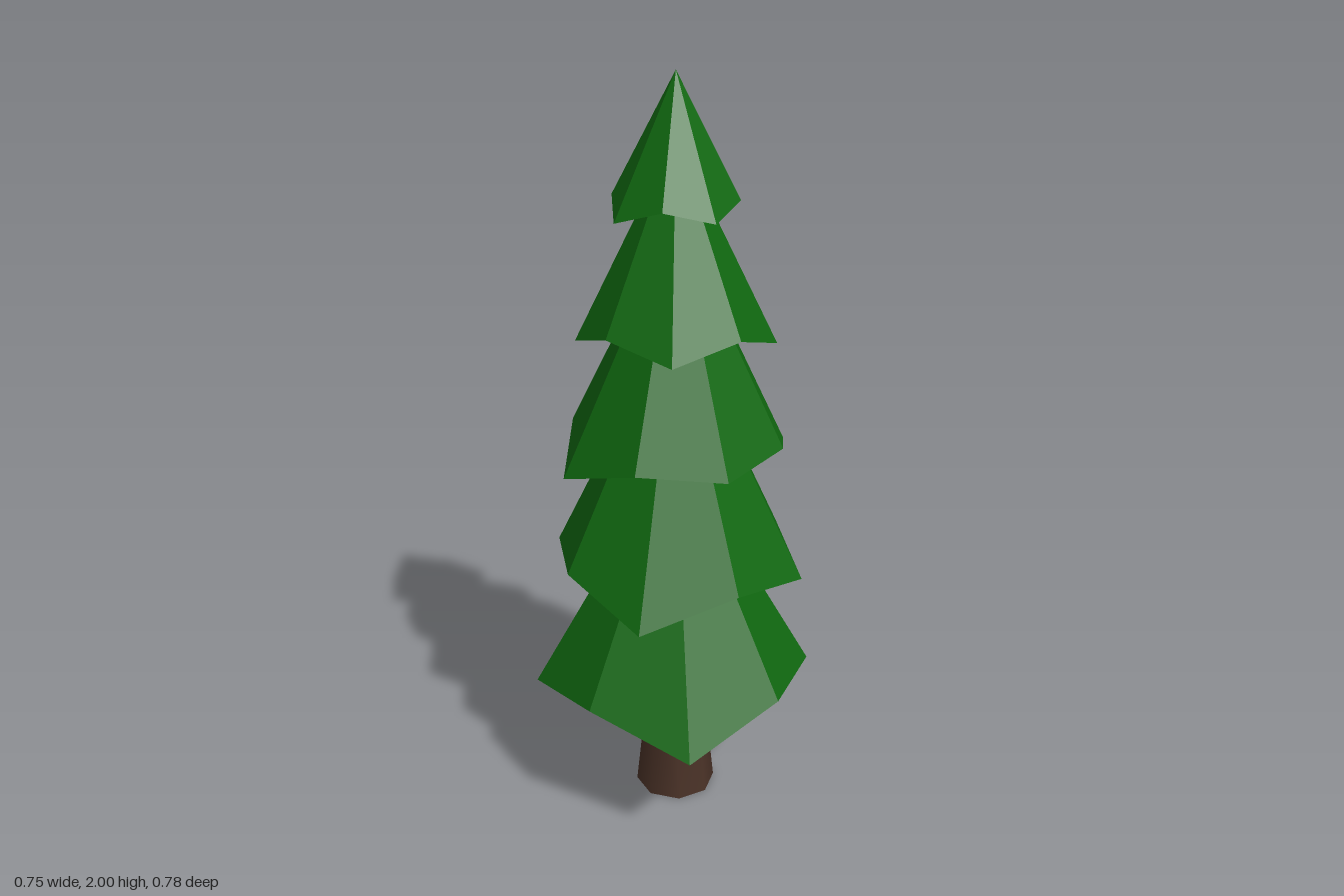
import * as THREE from 'three';

const SIDES = 8;
const AXIS_X = 0.007; // trunk axis sits slightly off centre

// Each tier: long ridge radii and heights (four, 90 degrees apart), short ridges between, apex, twist
const TIERS = [
  { twist: 0, long: [0.37, 0.39, 0.384, 0.39], longY: [0.38, 0.32, 0.35, 0.32], short: 0.352, shortY: 0.405, apex: 1.04 },
  { twist: 20.7, long: [0.345, 0.347, 0.33, 0.35], longY: [0.70, 0.67, 0.73, 0.67], short: 0.32, shortY: 0.75, apex: 1.41 },
  { twist: 70.4, long: [0.304, 0.312, 0.316, 0.319], longY: [1.065, 1.01, 1.035, 1.01], short: 0.289, shortY: 1.08, apex: 1.66 },
  { twist: 7.4, long: [0.255, 0.25, 0.254, 0.24], longY: [1.33, 1.35, 1.33, 1.33], short: 0.23, shortY: 1.39, apex: 1.85 },
  { twist: 61.8, long: [0.171, 0.176, 0.168, 0.176], longY: [1.67, 1.66, 1.66, 1.655], short: 0.159, shortY: 1.70, apex: 2 },
];

// Faceted star-like cone with a shallow hollow underneath
function tierGeometry({ twist, long, longY, short, shortY, apex }) {
  const rim = [];
  for (let i = 0; i < SIDES; i++) {
    const a = THREE.MathUtils.degToRad(twist + i * 45);
    const isLong = i % 2 === 0;
    const r = isLong ? long[i / 2] : short;
    rim.push([Math.cos(a) * r, isLong ? longY[i / 2] : shortY, Math.sin(a) * r]);
  }
  const tip = [0, apex, 0];
  const hollow = [0, shortY + 0.06, 0];
  const positions = [];
  rim.forEach((p, i) => {
    const q = rim[(i + 1) % SIDES];
    positions.push(...tip, ...q, ...p); // upper face
    positions.push(...hollow, ...p, ...q); // underside
  });
  const geometry = new THREE.BufferGeometry();
  geometry.setAttribute('position', new THREE.Float32BufferAttribute(positions, 3));
  geometry.computeVertexNormals();
  return geometry;
}

export function createModel() {
  const needles = new THREE.MeshStandardMaterial({ color: 0x106810 });
  needles.name = 'needleGreen';
  const bark = new THREE.MeshStandardMaterial({ color: 0x4a3227 });
  bark.name = 'barkBrown';

  const tree = new THREE.Group();
  tree.name = 'pineTree';

  // Foliage tiers, bottom to top
  TIERS.forEach((tier, i) => {
    const mesh = new THREE.Mesh(tierGeometry(tier), needles);
    mesh.name = `foliageTier${i + 1}`;
    mesh.position.x = AXIS_X;
    tree.add(mesh);
  });

  // Trunk with a flared foot
  const trunk = new THREE.Group();
  trunk.name = 'trunk';
  trunk.position.x = AXIS_X;
  const profile = [[0.11, 0], [0.085, 0.24], [0.083, 0.5]].map(([r, y]) => new THREE.Vector2(r, y));
  const stem = new THREE.Mesh(new THREE.LatheGeometry(profile, SIDES), bark);
  stem.name = 'trunkStem';
  const foot = new THREE.Mesh(new THREE.CircleGeometry(0.11, SIDES).rotateX(Math.PI / 2), bark);
  foot.name = 'trunkFoot';
  trunk.add(stem, foot);
  tree.add(trunk);

  return tree;
}
